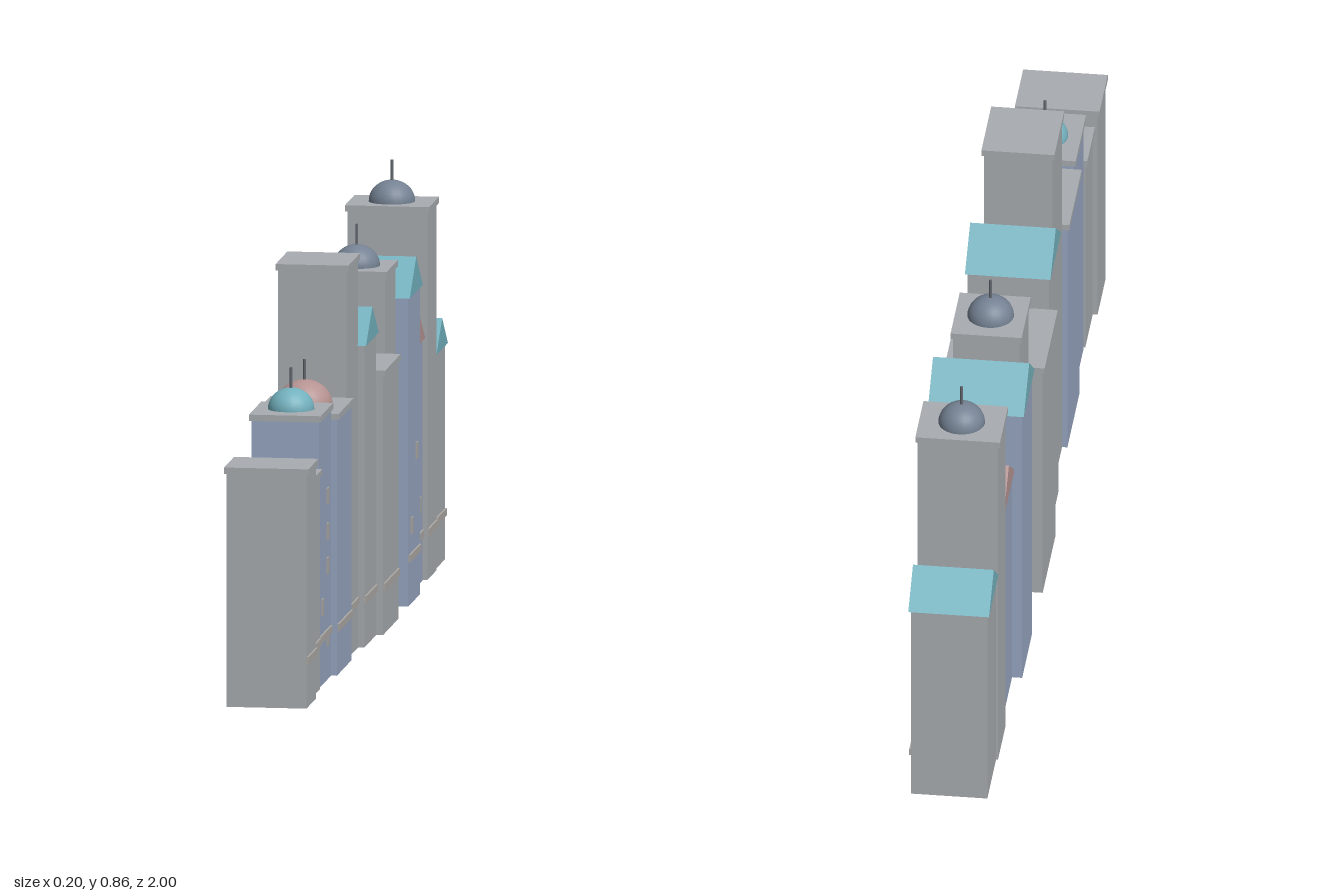
import * as THREE from 'three';

const mat = (name, color) => {
  const m = new THREE.MeshStandardMaterial({ color });
  m.name = name;
  return m;
};

export function createModel() {
  const grey = mat('stone grey', 0xa8acb0);
  const blue = mat('pale blue wall', 0x97a6c1);
  const teal = mat('teal roof', 0x73b1be);
  const pink = mat('dusty pink roof', 0xb59392);
  const slate = mat('slate dome', 0x758293);
  const trim = mat('window trim', 0xaca9a4);
  const metal = mat('spire metal', 0x666c74);

  const city = new THREE.Group();
  city.name = 'skyline';

  const add = (parent, name, geometry, material, x, y, z) => {
    const mesh = new THREE.Mesh(geometry, material);
    mesh.name = name;
    mesh.position.set(x, y, z);
    parent.add(mesh);
  };

  // gable roof with its ridge running across x
  const gable = (halfX, depth, rise) => {
    const s = new THREE.Shape();
    s.moveTo(-depth / 2, 0);
    s.lineTo(depth / 2, 0);
    s.lineTo(0, rise);
    const g = new THREE.ExtrudeGeometry(s, { depth: halfX * 2, bevelEnabled: false });
    return g.translate(0, 0, -halfX).rotateY(Math.PI / 2);
  };

  const CAP = 0.013;

  // front/back: wall ends in z; half: half width in x; top: wall or cap top
  const buildings = [
    { front: 0.996, back: 0.863, half: 0.083, top: 0.498, wall: grey },
    { front: 0.86, back: 0.737, half: 0.073, top: 0.457, wall: grey },
    { front: 0.733, back: 0.563, half: 0.07, top: 0.567, wall: blue, dome: teal, r: 0.048,
      windows: [[0.617, 0.383], [0.617, 0.31], [0.617, 0.238], [0.688, 0.163], [0.617, 0.088]] },
    { front: 0.559, back: 0.355, half: 0.082, top: 0.545, wall: blue, dome: pink, r: 0.058 },
    { front: 0.35, back: 0.19, half: 0.071, top: 0.82, wall: grey },
    { front: 0.185, back: 0.02, half: 0.084, top: 0.628, wall: grey, roof: teal, rise: 0.068 },
    { front: 0.016, back: -0.2, half: 0.098, top: 0.55, wall: grey },
    { front: -0.205, back: -0.354, half: 0.069, top: 0.72, wall: grey, dome: slate, r: 0.048 },
    { front: -0.359, back: -0.526, half: 0.095, top: 0.642, wall: blue, roof: teal, rise: 0.073,
      windows: [[-0.474, 0.308], [-0.405, 0.163]] },
    { front: -0.529, back: -0.703, half: 0.074, top: 0.503, wall: blue, roof: pink, rise: 0.071,
      windows: [[-0.56, 0.383], [-0.608, 0.238], [-0.56, 0.163], [-0.661, 0.163], [-0.56, 0.088]] },
    { front: -0.71, back: -0.841, half: 0.083, top: 0.776, wall: grey, dome: slate, r: 0.048 },
    { front: -0.845, back: -0.99, half: 0.079, top: 0.448, wall: grey, roof: teal, rise: 0.064 },
  ];

  buildings.forEach((b, i) => {
    const g = new THREE.Group();
    g.name = `building${i + 1}`;
    city.add(g);
    const depth = b.front - b.back;
    const z = (b.front + b.back) / 2;
    const wallTop = b.roof ? b.top : b.top - CAP;

    add(g, 'wall', new THREE.BoxGeometry(b.half * 2, wallTop, depth), b.wall, 0, wallTop / 2, z);

    // low ledge along the left side
    add(g, 'ledge', new THREE.BoxGeometry(0.008, 0.015, depth * 0.95), trim, b.half, 0.099, z);

    // windows on the left side
    for (const [wz, wy] of b.windows || []) {
      add(g, 'window', new THREE.BoxGeometry(0.006, 0.034, 0.022), trim, b.half, wy, wz);
    }

    if (b.roof) {
      add(g, 'gableRoof', gable(b.half + 0.0045, depth + 0.018, b.rise), b.roof, 0, b.top, z);
      return;
    }

    add(g, 'cap', new THREE.BoxGeometry(b.half * 2 + 0.009, CAP, depth + 0.008), grey, 0, b.top - CAP / 2, z);

    // dome with a thin spire
    if (b.dome) {
      const rise = b.r * 0.92;
      const dome = new THREE.SphereGeometry(b.r, 24, 10, 0, Math.PI * 2, 0, Math.PI / 2);
      dome.scale(1, 0.92, 1);
      add(g, 'dome', dome, b.dome, 0, b.top, z);
      add(g, 'spire', new THREE.CylinderGeometry(0.003, 0.003, 0.046, 8), metal, 0, b.top + rise + 0.019, z);
    }
  });

  return city;
}
